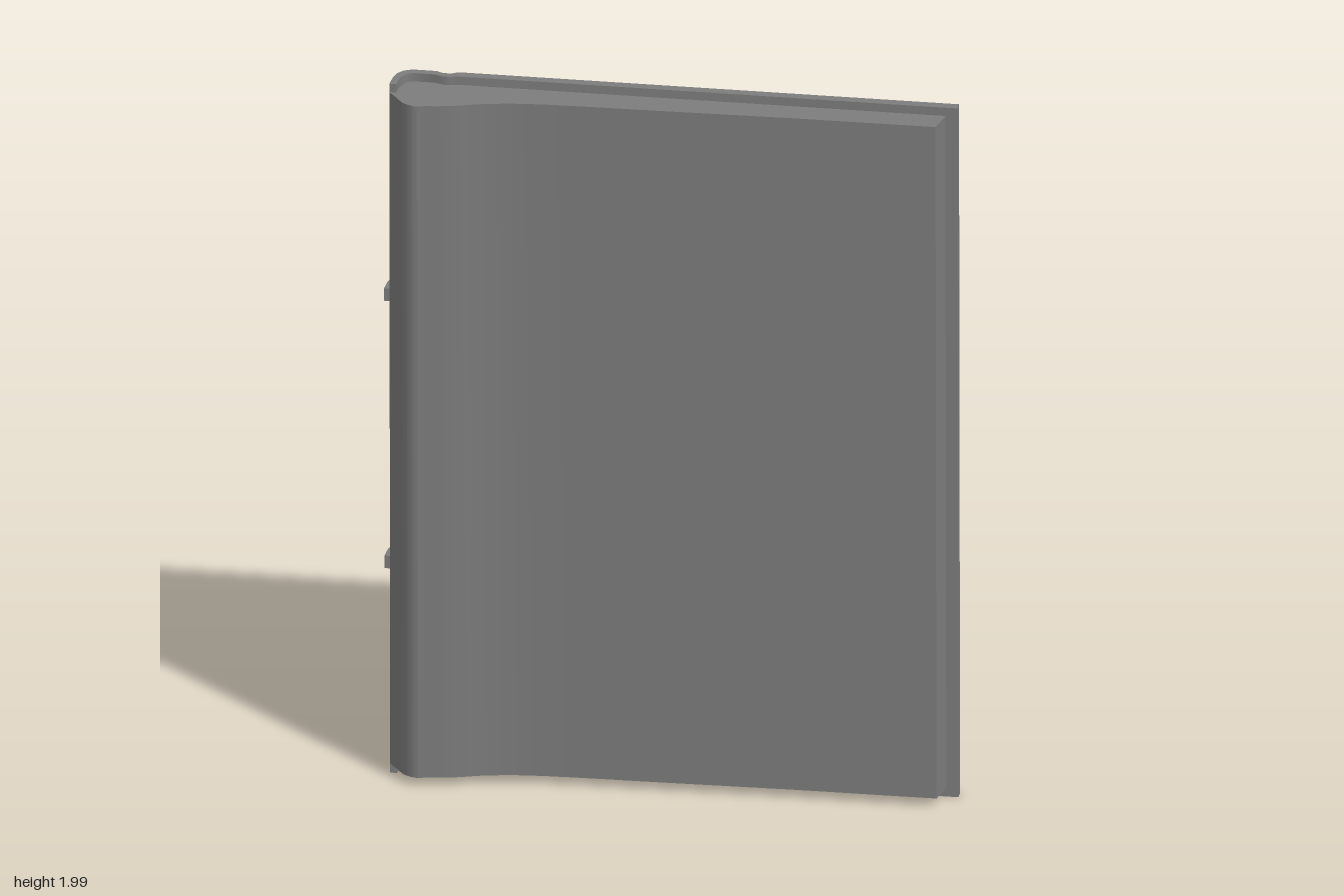
import * as THREE from 'three';
import { toCreasedNormals } from 'three/addons/utils/BufferGeometryUtils.js';

const material = new THREE.MeshStandardMaterial({ color: 0x7d7d7d, side: THREE.DoubleSide });

// Extrudes an [x, z] outline upwards from y0 to y1
function prism(name, points, y0, y1, crease) {
  const shape = new THREE.Shape(points.map(([x, z]) => new THREE.Vector2(x, -z)));
  const geo = new THREE.ExtrudeGeometry(shape, { depth: y1 - y0, bevelEnabled: false });
  geo.rotateX(-Math.PI / 2).translate(0, y0, 0);
  const mesh = new THREE.Mesh(toCreasedNormals(geo, crease), material);
  mesh.name = name;
  return mesh;
}

// Outer and inner outlines of the rounded spine, with its hinge groove
const spineOuter = [
  [-0.745, 0.022], [-0.742, -0.02], [-0.734, -0.049], [-0.72, -0.067], [-0.698, -0.077],
  [-0.635, -0.077], [-0.615, -0.067], [-0.595, -0.067], [-0.575, -0.078],
];
const spineInner = [
  [-0.575, -0.051], [-0.595, -0.045], [-0.615, -0.046], [-0.635, -0.055], [-0.69, -0.055],
  [-0.707, -0.048], [-0.719, -0.03], [-0.724, -0.01], [-0.727, 0.022],
];

// Raised square frame with sloping outer walls
function makeFrame() {
  const x0 = -0.3, x1 = 0.366, y0 = 0.637, y1 = 1.377, rim = 0.081, slope = 0.01;
  const rect = (path, a, b, c, d) =>
    path.moveTo(a, b).lineTo(c, b).lineTo(c, d).lineTo(a, d).closePath();
  const shape = rect(new THREE.Shape(), x0, y0, x1, y1);
  shape.holes.push(rect(new THREE.Path(), x0 + rim, y0 + rim, x1 - rim, y1 - rim));
  const geo = new THREE.ExtrudeGeometry(shape, { depth: 0.04, bevelEnabled: false });
  geo.translate(0, 0, -0.11);
  const pos = geo.attributes.position;
  for (let i = 0; i < pos.count; i++) {
    if (pos.getZ(i) > -0.1) continue;
    const x = pos.getX(i), y = pos.getY(i);
    if (Math.min(x - x0, x1 - x, y - y0, y1 - y) > 0.01) continue;
    pos.setXY(i, x + (x < 0 ? slope : -slope), y + (y < 1 ? slope : -slope));
  }
  const mesh = new THREE.Mesh(toCreasedNormals(geo, 0.2), material);
  mesh.name = 'coverFrame';
  return mesh;
}

export function createModel() {
  const book = new THREE.Group();
  book.name = 'bookHalf';

  // Back board and spine in one continuous strip
  book.add(prism('cover', [
    ...spineOuter, [0.757, -0.078], [0.757, -0.051], ...spineInner,
  ], 0.004, 1.998, 0.8));

  // Page block, swelling towards the spine and closing over its free edge
  const crown = new THREE.SplineCurve([
    [-0.745, 0.022], [-0.72, 0.055], [-0.7, 0.083], [-0.668, 0.1], [-0.64, 0.096],
    [-0.57, 0.084], [-0.47, 0.055], [-0.33, 0.038], [0, 0.031], [0.33, 0.024],
  ].map(([x, z]) => new THREE.Vector2(x, z))).getPoints(36).map((p) => [p.x, p.y]);
  book.add(prism('pages', [
    [-0.724, -0.01], [-0.727, 0.022], ...crown, [0.71, 0.022],
    [0.725, -0.052], [-0.575, -0.052], [-0.595, -0.046], [-0.615, -0.047],
    [-0.635, -0.056], [-0.69, -0.056], [-0.71, -0.046],
  ], 0.03, 1.974, 1.1));

  // Raised bands across the spine
  const bandOuter = [
    [-0.76, 0.022], [-0.757, -0.022], [-0.747, -0.055], [-0.727, -0.079], [-0.7, -0.089],
    [-0.63, -0.09], [-0.612, -0.078], [-0.598, -0.077],
  ];
  const bandInner = [
    [-0.598, -0.062], [-0.615, -0.063], [-0.635, -0.073], [-0.698, -0.072], [-0.718, -0.062],
    [-0.731, -0.045], [-0.738, -0.02], [-0.741, 0.022],
  ];
  for (const y of [0.613, 1.387]) {
    book.add(prism('spineBand', [...bandOuter, ...bandInner], y - 0.018, y + 0.018, 0.5));
  }

  book.add(makeFrame());

  // The whole book leans very slightly about its middle
  for (const part of book.children) part.position.y = -1;
  book.position.y = 1;
  book.rotation.x = 0.0085;
  const model = new THREE.Group();
  model.name = 'openBookHalf';
  model.add(book);
  return model;
}
